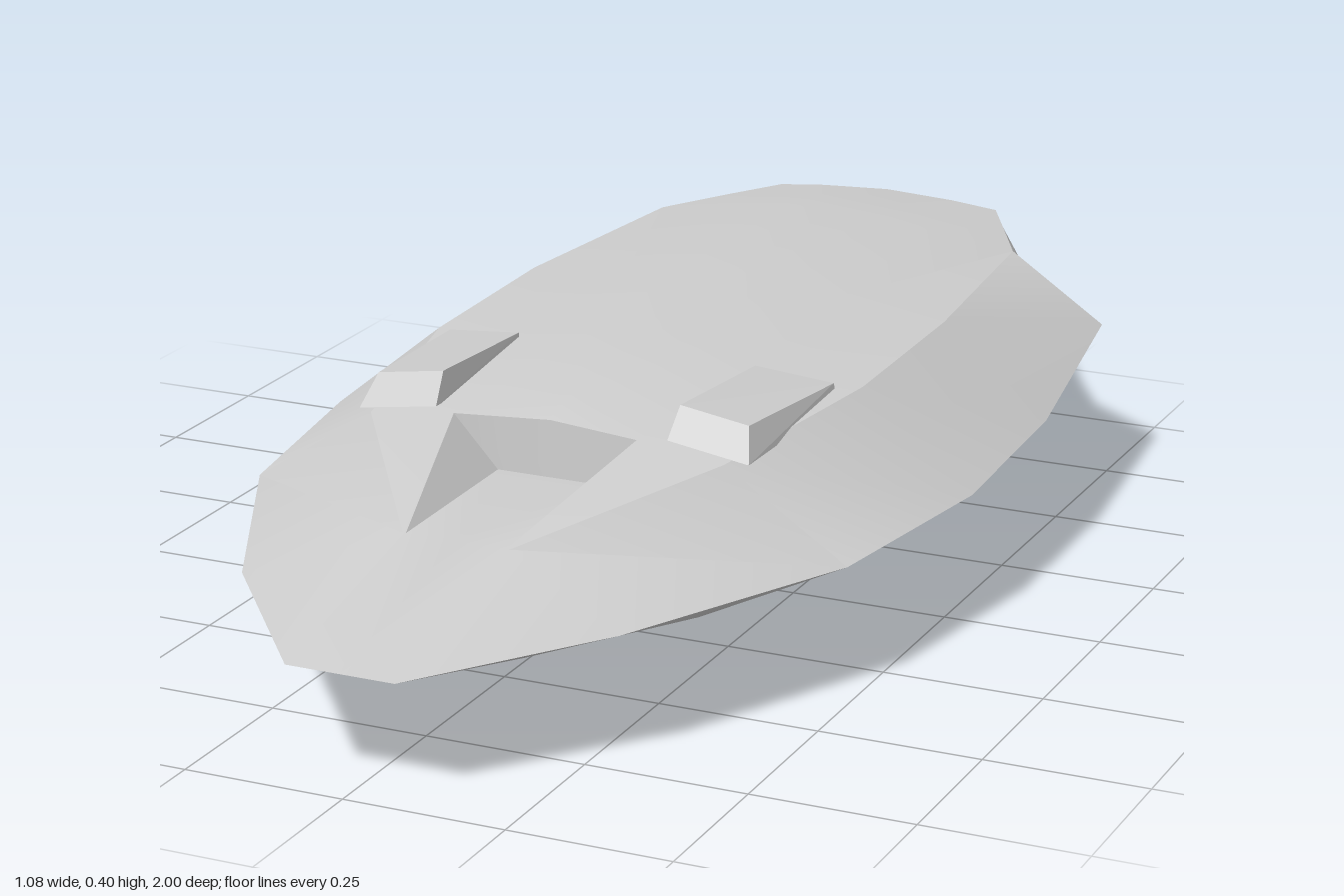
import * as THREE from 'three';
import { toCreasedNormals } from 'three/addons/utils/BufferGeometryUtils.js';

// triangles -> geometry, skipping collapsed ones
function fromTriangles(tris, crease) {
  const pos = [];
  const n = new THREE.Vector3();
  for (const t of tris) {
    const [a, b, c] = t.map((p) => new THREE.Vector3(...p));
    n.crossVectors(b.clone().sub(a), c.clone().sub(a));
    if (n.length() > 1e-7) for (const p of [a, b, c]) pos.push(p.x, p.y, p.z);
  }
  const g = new THREE.BufferGeometry();
  g.setAttribute('position', new THREE.Float32BufferAttribute(pos, 3));
  g.computeVertexNormals();
  return crease ? toCreasedNormals(g, crease) : g;
}

const mirror = ([x, y, z]) => [-x, y, z];

// Lower hull and sides, nose to stern: z, keel y, bottom x y, edge x y, shoulder x y z
const mid = [0.36, 0.075, 0.25, 0.085, 0.485, 0.2, 0.29, 0.328, 0.36];
const sides = [
  [1, 0.185, 0.085, 0.185, 0.085, 0.185, 0.085, 0.185, 1],
  [0.74, 0.138, 0.15, 0.14, 0.3, 0.198, 0.085, 0.262, 0.65],
  mid, mid, mid,
  [0, 0.055, 0.27, 0.068, 0.54, 0.203, 0.36, 0.35, 0],
  [-0.34, 0.06, 0.27, 0.07, 0.535, 0.218, 0.36, 0.357, -0.34],
  [-0.76, 0.108, 0.25, 0.115, 0.48, 0.25, 0.32, 0.357, -0.76],
  [-0.89, 0.15, 0.22, 0.155, 0.33, 0.234, 0.255, 0.355, -0.89],
  [-1, 0.22, 0.2, 0.22, 0.2, 0.22, 0.2, 0.352, -1],
];

// Deck, with the sunken canopy: rim, floor edge and centreline points
const deck = [
  [[0.085, 0.185, 1], [0.085, 0.185, 1], [0, 0.185, 1]],
  [[0.085, 0.262, 0.65], [0.08, 0.262, 0.65], [0, 0.262, 0.65]],
  [[0.15, 0.346, 0.36], [0.085, 0.262, 0.345], [0, 0.262, 0.345]],
  [[0.15, 0.346, 0.36], [0.085, 0.35, 0.34], [0, 0.35, 0.34]],
  [[0.15, 0.346, 0.36], [0.15, 0.346, 0.36], [0, 0.368, 0.265]],
  [[0.19, 0.372, 0], [0.095, 0.381, 0], [0, 0.387, 0]],
  [[0.19, 0.379, -0.34], [0.095, 0.388, -0.34], [0, 0.395, -0.34]],
  [[0.17, 0.379, -0.76], [0.085, 0.388, -0.76], [0, 0.395, -0.76]],
  [[0.145, 0.369, -0.89], [0.07, 0.376, -0.89], [0, 0.381, -0.89]],
  [[0.12, 0.36, -1], [0.06, 0.363, -1], [0, 0.366, -1]],
];

function hullGeometry() {
  const rings = sides.map(([z, ky, bx, by, ex, ey, sx, sy, sz], i) => {
    const [rim, floor, centre] = deck[i];
    const half = [[bx, by, z], [ex, ey, z], [sx, sy, sz], rim, floor];
    return [[0, ky, z], ...half, centre, ...half.map(mirror).reverse()];
  });
  const tris = [];
  const n = rings[0].length;
  for (let i = 0; i < rings.length - 1; i++) {
    const a = rings[i], b = rings[i + 1];
    for (let j = 0; j < n; j++) {
      const k = (j + 1) % n;
      // diagonals mirror each other across the centreline
      if (j < n / 2) tris.push([a[j], b[j], a[k]], [a[k], b[j], b[k]]);
      else tris.push([a[j], b[j], b[k]], [a[j], b[k], a[k]]);
    }
  }
  // flat stern
  const stern = rings[rings.length - 1];
  for (let j = 0; j < n; j++) tris.push([[0, 0.29, -1], stern[(j + 1) % n], stern[j]]);
  return fromTriangles(tris, 0.45);
}

// Wedge fairing; side = 1 for left, -1 for right
function podGeometry(side) {
  const c = [
    [0.19, 0.345, 0.34], [0.32, 0.325, 0.34], [0.305, 0.373, 0.305], [0.195, 0.39, 0.305],
    [0.2, 0.33, 0.04], [0.33, 0.33, 0.03], [0.325, 0.36, 0.03], [0.2, 0.374, 0.04],
  ].map((p) => (side > 0 ? p : mirror(p)));
  const quads = [[0, 1, 2, 3], [5, 4, 7, 6], [1, 5, 6, 2], [4, 0, 3, 7], [3, 2, 6, 7], [4, 5, 1, 0]];
  const tris = [];
  for (const q of quads) {
    const [p, r, s, t] = (side > 0 ? q : [...q].reverse()).map((i) => c[i]);
    tris.push([p, r, s], [p, s, t]);
  }
  return fromTriangles(tris);
}

export function createModel() {
  const group = new THREE.Group();
  const material = new THREE.MeshStandardMaterial({ color: 0xcccccc });
  const flat = new THREE.MeshStandardMaterial({ color: 0xcccccc, flatShading: true });
  const add = (name, geometry, mat) => {
    const mesh = new THREE.Mesh(geometry, mat);
    mesh.name = name;
    group.add(mesh);
    return mesh;
  };

  add('hull', hullGeometry(), material);
  add('leftPod', podGeometry(1), flat);
  add('rightPod', podGeometry(-1), flat);

  // octagonal foot under the hull
  add('foot', new THREE.CylinderGeometry(0.19, 0.19, 0.08, 8), flat).position.set(0, 0.04, -0.04);

  return group;
}
